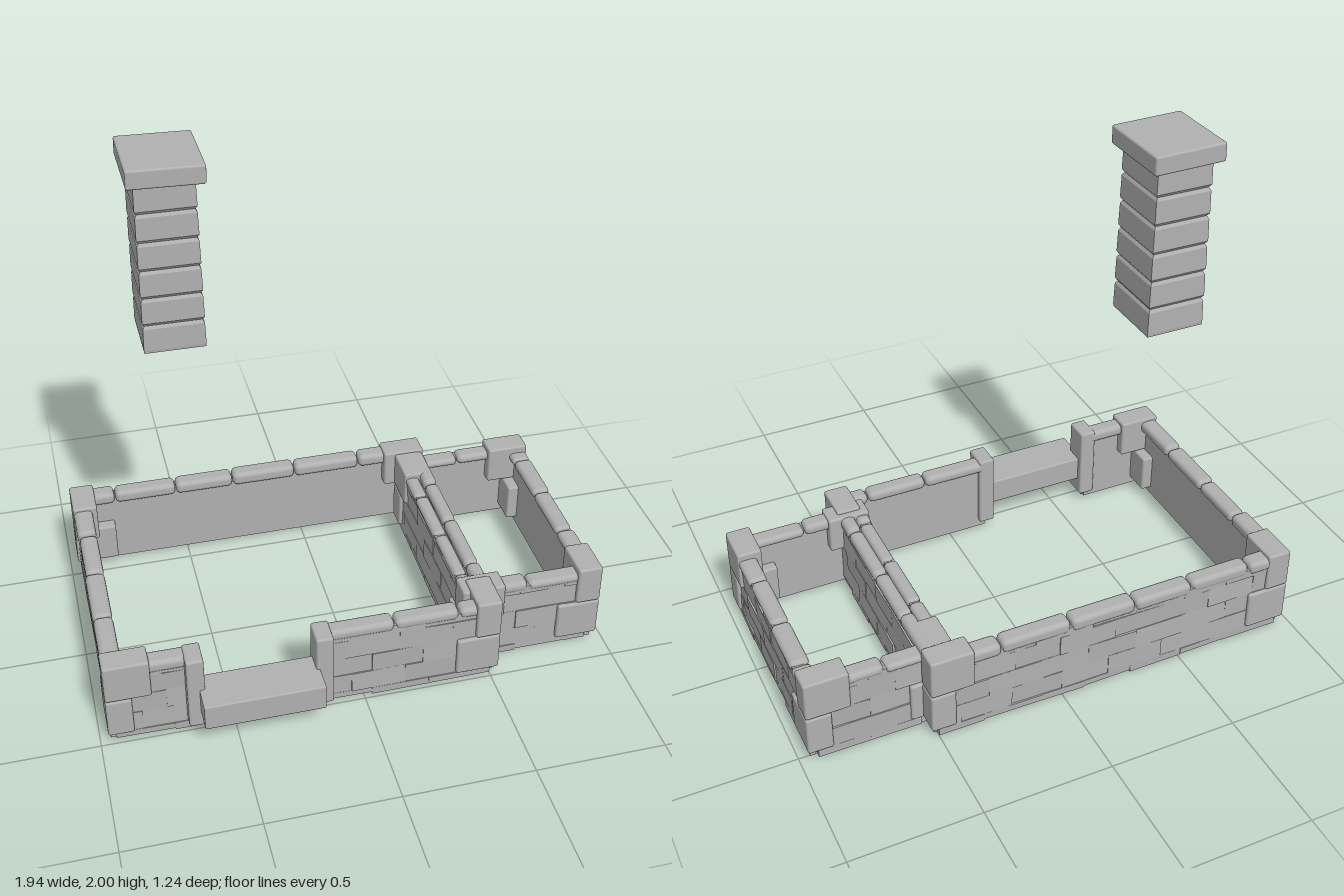
import * as THREE from 'three';
import { RoundedBoxGeometry } from 'three/addons/geometries/RoundedBoxGeometry.js';

const stone = new THREE.MeshStandardMaterial({ color: 0xb0b0b0, side: THREE.DoubleSide });
stone.name = 'grey stone';

// Small seeded generator for the uneven masonry
let seed = 7;
const rand = (a, b) => {
  seed = (seed * 16807) % 2147483647;
  return a + (b - a) * (seed / 2147483647);
};

function add(parent, name, geometry) {
  const mesh = new THREE.Mesh(geometry, stone);
  mesh.name = name;
  parent.add(mesh);
  return mesh;
}

// Rounded block given by its min and max corners
function block(parent, name, x0, x1, y0, y1, z0, z1, r = 0.009) {
  const m = add(parent, name, new RoundedBoxGeometry(x1 - x0, y1 - y0, z1 - z0, 2, r));
  m.position.set((x0 + x1) / 2, (y0 + y1) / 2, (z0 + z1) / 2);
  return m;
}

// Splits a length into stones of roughly the given size
function split(length, size, shift = 0) {
  const cuts = [-length / 2];
  let x = -length / 2 + size * (shift || 1);
  while (x < length / 2 - size * 0.3) {
    cuts.push(x + rand(-0.02, 0.02));
    x += size;
  }
  cuts.push(length / 2);
  return cuts;
}

const ROWS = [0, 0.035, 0.12, 0.205, 0.29, 0.325];

// Wall: local x runs along it, local z points outwards, outer stones end near z = 0
function wall(parent, name, length, x, z, angle, capWidth = 0.072, top = 0.348) {
  const g = new THREE.Group();
  g.name = name;
  g.position.set(x, 0, z);
  g.rotation.y = angle;
  parent.add(g);
  // flat inner face
  const liner = add(g, 'wallCore', new THREE.BoxGeometry(length, 0.315, 0.03));
  liner.position.set(0, 0.1675, -0.037);
  // brick courses, each stone slightly tilted
  for (let r = 0; r < ROWS.length - 1; r++) {
    const cuts = split(length, 0.2, r % 2 ? 0.5 : 1);
    for (let i = 0; i < cuts.length - 1; i++) {
      const w = cuts[i + 1] - cuts[i];
      const y0 = r ? ROWS[r] : rand(0, 0.012);
      const brick = add(g, 'brick', new THREE.BoxGeometry(w, ROWS[r + 1] - y0, 0.02));
      brick.position.set(cuts[i] + w / 2, (y0 + ROWS[r + 1]) / 2, -0.022 + rand(-0.003, 0.003));
      brick.rotation.set(rand(-0.05, 0.05), rand(-0.02, 0.02), 0);
    }
  }
  // rounded coping stones
  const caps = split(length, 0.26);
  for (let i = 0; i < caps.length - 1; i++) {
    const t = top + rand(-0.006, 0.006);
    block(g, 'copingStone', caps[i] + 0.002, caps[i + 1] - 0.002, 0.3, t,
      -capWidth - 0.005, -0.005 + rand(-0.003, 0.003), 0.02);
  }
  return g;
}

// Two stacked corner stones, laid crosswise; (x, z) is the outer corner, dx, dz point inwards
function corner(parent, name, x, z, dx, dz, upperAlongX, top = 0.365) {
  const g = new THREE.Group();
  g.name = name;
  parent.add(g);
  for (const [y0, y1, alongX] of [[0.04, 0.202, !upperAlongX], [0.204, top, upperAlongX]]) {
    const xe = x + dx * (alongX ? 0.17 : 0.097);
    const ze = z + dz * (alongX ? 0.097 : 0.165);
    block(g, 'cornerStone', Math.min(x, xe), Math.max(x, xe), y0, y1, Math.min(z, ze), Math.max(z, ze));
  }
}

export function createModel() {
  seed = 7;
  const model = new THREE.Group();
  model.name = 'stoneFoundation';
  const H = Math.PI / 2;

  // Main room
  const main = new THREE.Group();
  main.name = 'mainRoom';
  model.add(main);
  wall(main, 'backWall', 1.44, -0.22, -0.62, Math.PI, 0.072, 0.355);
  wall(main, 'rightWall', 1.06, -0.97, -0.06, -H);
  wall(main, 'leftWall', 1.06, 0.53, -0.06, H, 0.055);
  wall(main, 'frontWallRight', 0.3, -0.79, 0.495, 0);
  wall(main, 'frontWallLeft', 0.66, 0.17, 0.495, 0);
  corner(main, 'backRightCorner', -0.97, -0.62, 1, 1, false);
  corner(main, 'frontRightCorner', -0.97, 0.5, 1, -1, true);
  corner(main, 'backLeftCorner', 0.53, -0.62, -1, 1, true);
  corner(main, 'frontLeftCorner', 0.53, 0.5, -1, -1, false);

  // Side room
  const annex = new THREE.Group();
  annex.name = 'sideRoom';
  model.add(annex);
  wall(annex, 'backWall', 0.5, 0.68, -0.535, Math.PI, 0.072, 0.34);
  wall(annex, 'frontWall', 0.5, 0.68, 0.4, 0, 0.072, 0.34);
  wall(annex, 'outerWall', 0.88, 0.97, -0.065, H, 0.072, 0.34);
  wall(annex, 'innerWall', 0.88, 0.405, -0.065, -H, 0.055, 0.34);
  corner(annex, 'backOuterCorner', 0.97, -0.535, -1, 1, true);
  corner(annex, 'frontOuterCorner', 0.97, 0.405, -1, -1, false);
  corner(annex, 'backInnerCorner', 0.405, -0.535, 1, 1, false, 0.355);
  corner(annex, 'frontInnerCorner', 0.405, 0.405, 1, -1, true, 0.355);

  // Doorway posts and step
  for (const x of [-0.642, -0.162])
    block(model, 'doorPost', x - 0.033, x + 0.033, 0.04, 0.355, 0.42, 0.527);
  block(model, 'doorStep', -0.63, -0.18, 0.108, 0.215, 0.447, 0.62, 0.006);

  // Chimney: open square shaft with bulging courses
  const chimney = new THREE.Group();
  chimney.name = 'chimney';
  chimney.position.set(-0.558, 0, -0.197);
  model.add(chimney);
  const profile = [];
  const course = 0.107;
  for (let i = 0; i < 6; i++) {
    const y = 1.29 + i * course;
    const r = (1 - i * 0.008) * Math.SQRT2;
    profile.push(
      new THREE.Vector2(r * (i ? 0.93 : 0.99), y),
      new THREE.Vector2(r, y + 0.012),
      new THREE.Vector2(r * 0.985, y + course - 0.012),
      new THREE.Vector2(r * 0.93, y + course - 0.001));
  }
  const shaft = new THREE.LatheGeometry(profile, 4, Math.PI / 4).toNonIndexed();
  shaft.scale(0.112, 1, 0.126);
  shaft.computeVertexNormals();
  add(chimney, 'chimneyShaft', shaft);
  const cap = block(chimney, 'chimneyCap', -0.132, 0.14, 1.928, 1.998, -0.158, 0.147, 0.008);
  cap.rotation.z = -0.02;
  return model;
}
